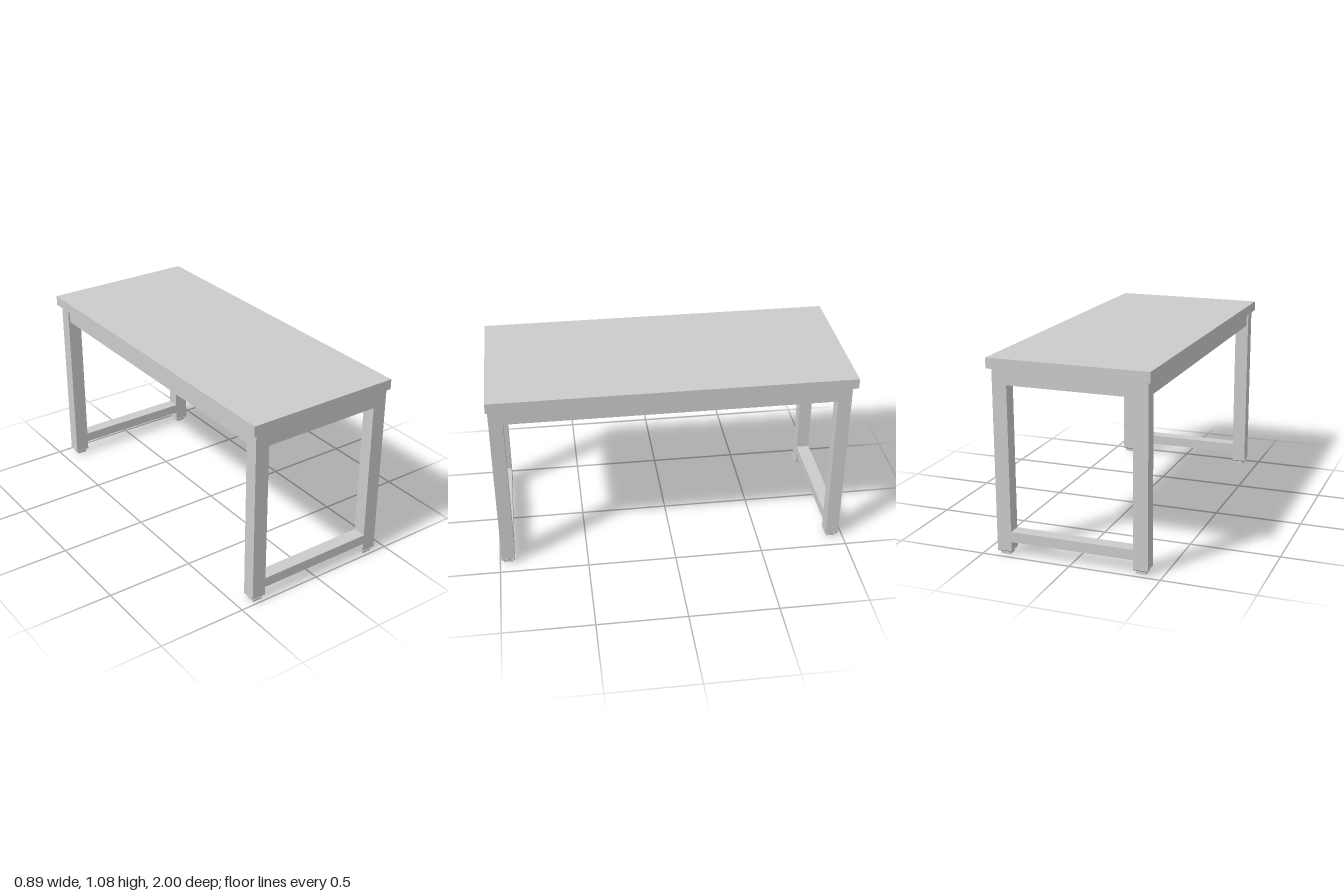
import * as THREE from 'three';

const material = new THREE.MeshStandardMaterial({ color: 0xcccccc, flatShading: true });

// Box given by its lower and upper corners
function block(name, x0, x1, y0, y1, z0, z1) {
  const mesh = new THREE.Mesh(new THREE.BoxGeometry(x1 - x0, y1 - y0, z1 - z0), material);
  mesh.position.set((x0 + x1) / 2, (y0 + y1) / 2, (z0 + z1) / 2);
  mesh.name = name;
  return mesh;
}

function assembly(name, ...parts) {
  const group = new THREE.Group();
  group.name = name;
  group.add(...parts);
  return group;
}

// Hollow square foot, standing on the ground
function footPad(x, z) {
  const square = (Type, r) => new Type([[-r, -r], [r, -r], [r, r], [-r, r]].map(p => new THREE.Vector2(...p)));
  const shape = square(THREE.Shape, 0.027);
  shape.holes.push(square(THREE.Path, 0.014));
  const geometry = new THREE.ExtrudeGeometry(shape, { depth: 0.02, bevelEnabled: false });
  geometry.rotateX(-Math.PI / 2);
  const mesh = new THREE.Mesh(geometry, material);
  mesh.position.set(x, 0, z);
  mesh.name = 'footPad';
  return mesh;
}

// Tapered cap closing the bottom of a leg
function legCap(x, z) {
  const geometry = new THREE.CylinderGeometry(0.042 * Math.SQRT2, 0.034 * Math.SQRT2, 0.008, 4);
  geometry.rotateY(Math.PI / 4);
  const mesh = new THREE.Mesh(geometry, material);
  mesh.position.set(x, 0.022, z);
  mesh.name = 'legCap';
  return mesh;
}

export function createModel() {
  const model = new THREE.Group();
  const outX = 0.424, inX = 0.343;      // leg faces across the width
  const legTop = 1.018, apronY = 0.932; // heights
  const t = 0.008;                      // sheet thickness
  const ends = [
    { name: 'front', s: 1, out: 0.99, inn: 0.914 },
    { name: 'back', s: -1, out: -0.973, inn: -0.898 },
  ];

  model.add(block('tableTop', -0.443, 0.443, legTop, 1.075, -1, 1));

  for (const { name, s, out, inn } of ends) {
    const z0 = Math.min(out, inn), z1 = Math.max(out, inn), zc = (z0 + z1) / 2;

    // Legs with cap and foot
    for (const side of [-1, 1]) {
      const x = side * (outX + inX) / 2;
      model.add(assembly(name + (side > 0 ? 'LeftLeg' : 'RightLeg'),
        block('post', x - 0.0405, x + 0.0405, 0.026, legTop, z0, z1),
        legCap(x, zc), footPad(x, zc)));
    }

    // End apron: upright sheet with an inward flange
    const skin = out - s * t;
    model.add(assembly(name + 'Apron',
      block('web', -inX, inX, apronY, legTop, Math.min(out, skin), Math.max(out, skin)),
      block('flange', -inX, inX, apronY, apronY + t, z0, z1)));

    // Lower rail: channel open downward
    model.add(assembly(name + 'LowerRail',
      block('railTop', -inX, inX, 0.132 - t, 0.132, z0, z1),
      block('railWall', -inX, inX, 0.075, 0.132, z0, z0 + t),
      block('railWall', -inX, inX, 0.075, 0.132, z1 - t, z1)));
  }

  // Long aprons between the end frames; the right one is slightly recessed
  const [zFront, zBack] = ends.map(e => e.inn);
  model.add(
    assembly('leftApron',
      block('web', outX - t, outX, apronY, legTop, zBack, zFront),
      block('flange', inX, outX, apronY, apronY + t, zBack, zFront)),
    assembly('rightApron',
      block('web', -outX + 0.01, -outX + 0.01 + t, apronY, legTop, zBack, zFront),
      block('flange', -outX + 0.01, -inX, apronY, apronY + t, zBack, zFront)));

  return model;
}
